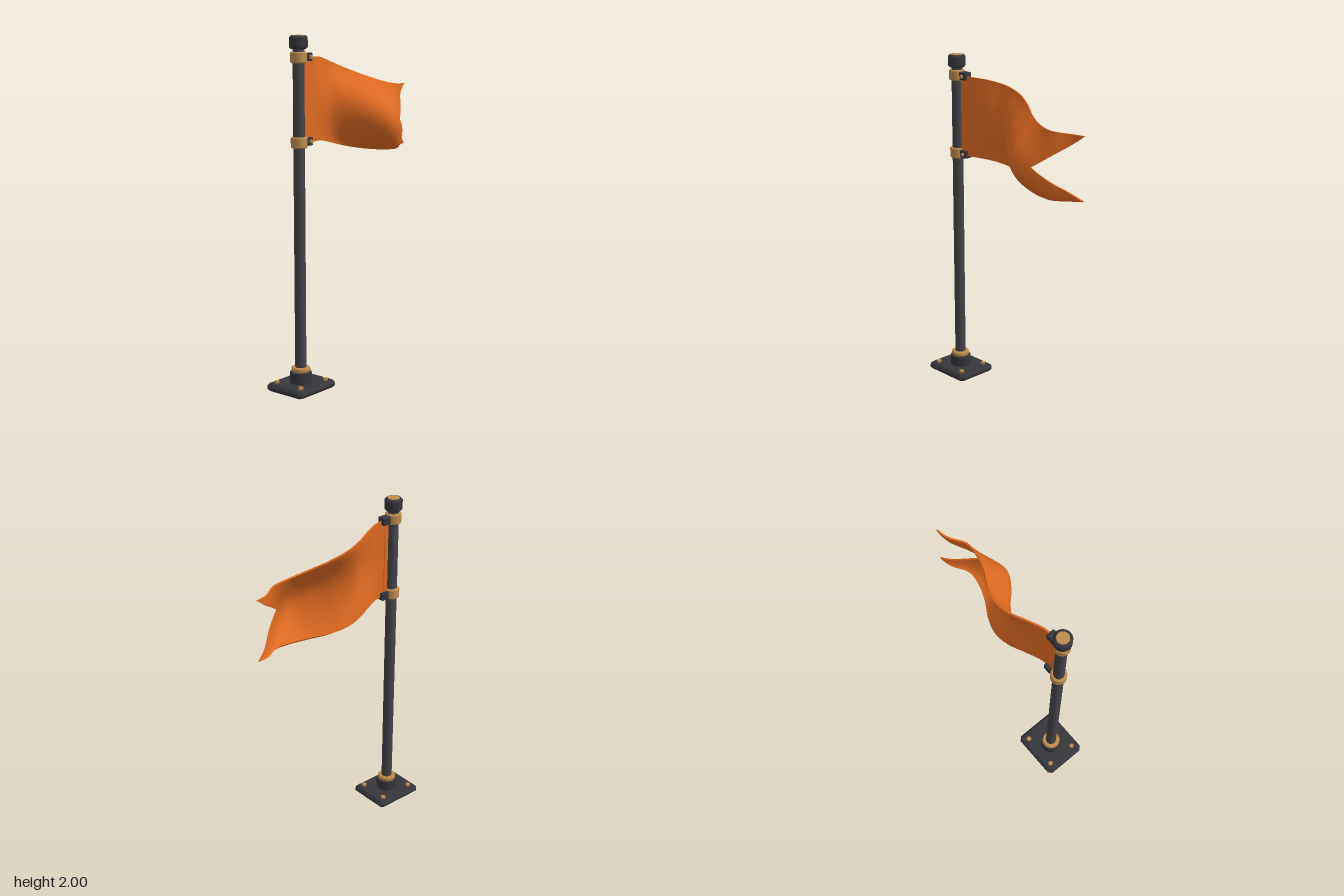
import * as THREE from 'three';
import { toCreasedNormals, mergeGeometries } from 'three/addons/utils/BufferGeometryUtils.js';
import { RoundedBoxGeometry } from 'three/addons/geometries/RoundedBoxGeometry.js';

const POLE_X = -0.42, POLE_Z = -0.013;

// Smooth curve through values spaced 0.1 apart, from x = -0.4 to 0.6
function profile(values) {
  const curve = new THREE.SplineCurve(values.map((v, i) => new THREE.Vector2(i, v)));
  return x => curve.getPoint(THREE.MathUtils.clamp((x + 0.4) / 1, 0, 1)).y;
}

const topEdge = profile([1.88, 1.88, 1.872, 1.852, 1.82, 1.78, 1.737, 1.706, 1.69, 1.681, 1.68]);
const bottomEdge = profile([1.405, 1.408, 1.402, 1.385, 1.36, 1.337, 1.32, 1.309, 1.305, 1.308, 1.318]);
const edgeWave = profile([-0.013, -0.018, -0.056, -0.095, -0.103, -0.072, -0.017, 0.022, 0.03, -0.025, -0.042]);
const foldWave = profile([-0.013, -0.013, -0.034, -0.06, -0.004, 0.085, 0.14, 0.126, 0.073, 0.0, -0.038]);

// Cloth point: s runs from hoist to fly end, t from bottom to top
function clothPoint(s, t) {
  const v = t < 0.5 ? t * 0.92 : 0.46 + (t - 0.5) * 1.08;
  const end = 0.32 + 0.25 * Math.abs(2 * t - 1);
  const x = THREE.MathUtils.lerp(-0.375, end, s);
  const y = THREE.MathUtils.lerp(bottomEdge(x), topEdge(x), v);
  // The billow's ridge sinks diagonally toward the fly end
  const ridge = THREE.MathUtils.clamp(0.5 - 0.42 * x, 0.32, 0.52);
  const power = THREE.MathUtils.clamp(1.5 - 2.5 * x, 1, 1.5);
  const u = Math.pow(v, Math.log(0.5) / Math.log(ridge));
  const billow = Math.pow(Math.max(0, Math.sin(Math.PI * u)), power);
  return [x, y, THREE.MathUtils.lerp(edgeWave(x), foldWave(x), billow)];
}

// Two offset cloth faces joined by a rim
function clothGeometry(nx, ny, half) {
  const mid = new THREE.PlaneGeometry(1, 1, nx, ny);
  const p = mid.attributes.position;
  for (let i = 0; i < p.count; i++) p.setXYZ(i, ...clothPoint(p.getX(i) + 0.5, p.getY(i) + 0.5));
  mid.computeVertexNormals();
  const n = mid.attributes.normal;
  const side = sign => {
    const g = mid.clone();
    const q = g.attributes.position;
    for (let i = 0; i < q.count; i++) {
      q.setXYZ(i, p.getX(i) + sign * half * n.getX(i), p.getY(i) + sign * half * n.getY(i), p.getZ(i) + sign * half * n.getZ(i));
    }
    if (sign < 0) g.setIndex(Array.from(g.index.array).reverse());
    g.computeVertexNormals();
    g.deleteAttribute('uv');
    return g;
  };
  const front = side(1), back = side(-1);

  // Clockwise walk round the border
  const w = nx + 1, loop = [];
  for (let i = 0; i < nx; i++) loop.push(i);
  for (let j = 0; j < ny; j++) loop.push(j * w + nx);
  for (let i = nx; i > 0; i--) loop.push(ny * w + i);
  for (let j = ny; j > 0; j--) loop.push(j * w);
  const pos = [], index = [];
  loop.forEach((a, k) => {
    for (const g of [front, back]) {
      const q = g.attributes.position;
      pos.push(q.getX(a), q.getY(a), q.getZ(a));
    }
    const m = 2 * k, o = 2 * ((k + 1) % loop.length);
    index.push(m, o, m + 1, o, o + 1, m + 1);
  });
  const rim = new THREE.BufferGeometry();
  rim.setAttribute('position', new THREE.Float32BufferAttribute(pos, 3));
  rim.setIndex(index);
  rim.computeVertexNormals();
  return mergeGeometries([front, back, rim]);
}

// Lathe turned about the pole axis, with crisp edges
function turned(points, segments = 32) {
  const g = new THREE.LatheGeometry(points.map(([r, y]) => new THREE.Vector2(r, y)), segments);
  return toCreasedNormals(g, 0.5).translate(POLE_X, 0, POLE_Z);
}

// Closed ring profile with chamfered rims
function drum(r, y0, y1, c) {
  return turned([[0, y0], [r - c, y0], [r, y0 + c], [r, y1 - c], [r - c, y1], [0, y1]]);
}

export function createModel() {
  const model = new THREE.Group();
  const material = (name, color) => {
    const m = new THREE.MeshStandardMaterial({ color });
    m.name = name;
    return m;
  };
  const darkMetal = material('dark metal', 0x36363b);
  const poleMetal = material('pole metal', 0x45454a);
  const brass = material('brass', 0xbd8b4e);
  const cloth = material('orange cloth', 0xe06a22);
  cloth.side = THREE.DoubleSide;

  const add = (name, geometry, mat, parent = model) => {
    const mesh = new THREE.Mesh(geometry, mat);
    mesh.name = name;
    parent.add(mesh);
    return mesh;
  };

  // Chamfered base plate
  const bevel = 0.015, hx = 0.157 - bevel, hz = 0.136 - bevel, c = 0.012;
  const outline = new THREE.Shape([
    [hx - c, -hz], [hx, -hz + c], [hx, hz - c], [hx - c, hz],
    [-hx + c, hz], [-hx, hz - c], [-hx, -hz + c], [-hx + c, -hz],
  ].map(([x, y]) => new THREE.Vector2(x, y)));
  const plate = new THREE.ExtrudeGeometry(outline, {
    depth: 0.013, bevelEnabled: true, bevelSize: bevel, bevelThickness: bevel, bevelSegments: 1,
  });
  plate.rotateX(-Math.PI / 2).translate(POLE_X + 0.003, bevel, POLE_Z);
  add('basePlate', plate, darkMetal);

  // Hex bolts at the plate corners
  for (const sx of [-1, 1]) for (const sz of [-1, 1]) {
    const bolt = new THREE.CylinderGeometry(0.015, 0.015, 0.016, 6);
    add('baseBolt', toCreasedNormals(bolt, 0.5), brass).position.set(POLE_X + 0.003 + sx * 0.106, 0.048, POLE_Z + sz * 0.09);
  }

  // Pole, socket and cap
  add('socket', drum(0.062, 0.04, 0.108, 0.005), darkMetal);
  add('socketRing', drum(0.054, 0.105, 0.133, 0.006), brass);
  add('pole', drum(0.032, 0.1, 1.95, 0.002), poleMetal);
  add('cap', drum(0.051, 1.925, 1.998, 0.01), darkMetal);
  add('capDisc', drum(0.035, 1.99, 2.0, 0.001), brass);

  // Upper and lower clamps: sleeve, lug and screw
  for (const y of [1.88, 1.415]) {
    const clamp = new THREE.Group();
    clamp.name = 'flagClamp';
    model.add(clamp);
    add('sleeve', drum(0.046, y - 0.031, y + 0.031, 0.006), brass, clamp);
    add('lug', new RoundedBoxGeometry(0.05, 0.045, 0.05, 1, 0.004), darkMetal, clamp)
      .position.set(-0.352, y, POLE_Z - 0.002);
    const screw = new THREE.CylinderGeometry(0.011, 0.011, 0.014, 6).rotateX(Math.PI / 2);
    add('screw', toCreasedNormals(screw, 0.5), brass, clamp).position.set(-0.35, y, 0.016);
  }

  // Waving swallowtail flag with a thicker hem at the hoist
  add('flag', clothGeometry(72, 40, 0.005), cloth);
  add('hoistHem', new RoundedBoxGeometry(0.03, 0.474, 0.015, 2, 0.006), cloth)
    .position.set(-0.367, 1.643, POLE_Z);

  return model;
}
